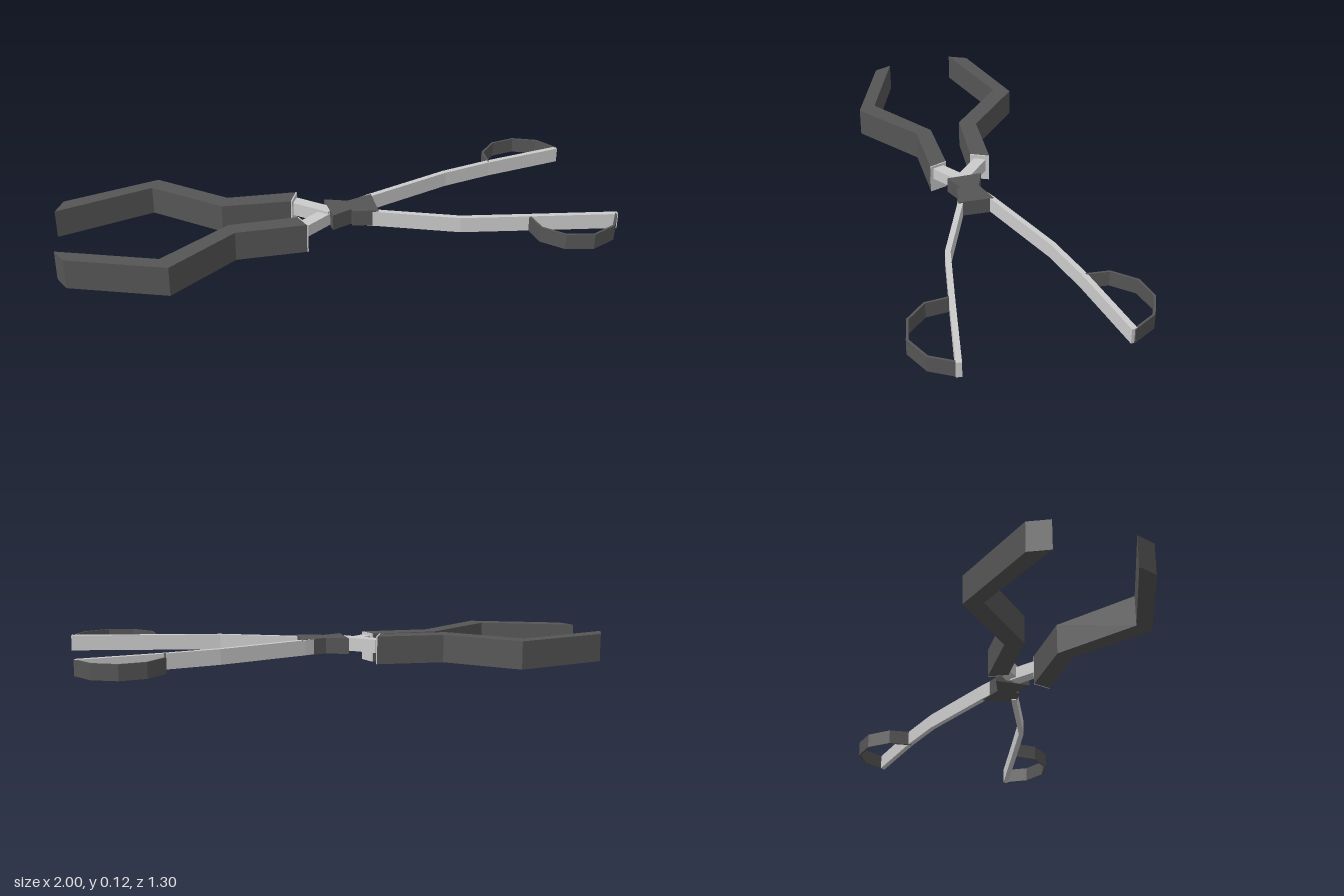
import * as THREE from 'three';

const grey = new THREE.MeshStandardMaterial({ color: 0xcccccc, flatShading: true });
const dark = new THREE.MeshStandardMaterial({ color: 0x555555, flatShading: true });

// Upright prism over a ground outline of [x, z] points
function prism(name, outline, y0, y1, material) {
  const shape = new THREE.Shape(outline.map(([x, z]) => new THREE.Vector2(x, -z)));
  const geo = new THREE.ExtrudeGeometry(shape, { depth: y1 - y0, bevelEnabled: false });
  geo.rotateX(-Math.PI / 2).translate(0, y0, 0);
  const mesh = new THREE.Mesh(geo, material);
  mesh.name = name;
  return mesh;
}

// Strip of even width along a path of [x, z] points, with mitred corners
function strip(name, path, width, y0, y1, material) {
  const p = path.map(([x, z]) => new THREE.Vector2(x, z));
  const normal = (a, b) => new THREE.Vector2(a.y - b.y, b.x - a.x).normalize();
  const left = [], right = [];
  p.forEach((q, i) => {
    const n1 = normal(p[Math.max(i - 1, 0)], p[Math.max(i, 1)]);
    const n2 = i < p.length - 1 ? normal(q, p[i + 1]) : n1;
    const m = n1.clone().add(n2).normalize();
    m.multiplyScalar(width / 2 / m.dot(n1));
    left.push([q.x + m.x, q.y + m.y]);
    right.unshift([q.x - m.x, q.y - m.y]);
  });
  return prism(name, [...left, ...right], y0, y1, material);
}

export function createModel() {
  const model = new THREE.Group();
  model.name = 'tongs';

  // Each arm: bent jaw with pale end plate, link, pivot block, handle and finger loop
  const arms = [
    {
      name: 'rearJawArm', jawY: [0.02, 0.125], linkY: [0.06, 0.11], handleY: [0.05, 0.108],
      jaw: [[-1, 0.27], [-0.72, 0.03], [-0.42, 0.12], [-0.183, 0.025],
        [-0.183, 0.1], [-0.42, 0.19], [-0.72, 0.1], [-1, 0.35]],
      plate: [[-0.183, 0.025], [-0.178, 0.025], [-0.178, 0.1], [-0.183, 0.1]],
      link: [[-0.18, 0.06], [-0.03, 0.105]],
      block: [[0.015, 0.03], [0.09, -0.04], [0.142, 0.083], [0.05, 0.107]],
      handle: [[0.1, 0.08], [0.14, 0.077], [0.44, 0.062], [0.685, -0.002], [0.995, -0.085]],
      loop: [[0.685, 0.005], [0.73, 0.08], [0.82, 0.115], [0.917, 0.093], [0.982, 0.015], [0.991, -0.083]],
    },
    {
      name: 'frontJawArm', jawY: [0, 0.11], linkY: [0.055, 0.1], handleY: [0.055, 0.112],
      jaw: [[-0.895, 0.595], [-0.525, 0.57], [-0.365, 0.295], [-0.138, 0.187],
        [-0.09, 0.238], [-0.325, 0.345], [-0.475, 0.62], [-0.84, 0.645]],
      plate: [[-0.138, 0.187], [-0.133, 0.185], [-0.085, 0.236], [-0.09, 0.238]],
      link: [[-0.11, 0.215], [-0.045, 0.1]],
      block: [[-0.072, 0.037], [0.015, 0.03], [0.055, 0.08], [-0.013, 0.155]],
      handle: [[0.06, 0], [0.085, -0.03], [0.335, -0.285], [0.49, -0.41], [0.75, -0.597]],
      loop: [[0.495, -0.41], [0.463, -0.495], [0.493, -0.592], [0.57, -0.65], [0.667, -0.653], [0.749, -0.598]],
    },
  ];

  for (const a of arms) {
    const arm = new THREE.Group();
    arm.name = a.name;
    arm.add(
      prism('jaw', a.jaw, ...a.jawY, dark),
      prism('jawEndPlate', a.plate, ...a.jawY, grey),
      strip('link', a.link, 0.045, ...a.linkY, grey),
      prism('pivotBlock', a.block, 0.053, 0.113, dark),
      strip('handle', a.handle, 0.02, ...a.handleY, grey),
      strip('fingerLoop', a.loop, 0.008, ...a.handleY, dark),
    );
    model.add(arm);
  }
  return model;
}
